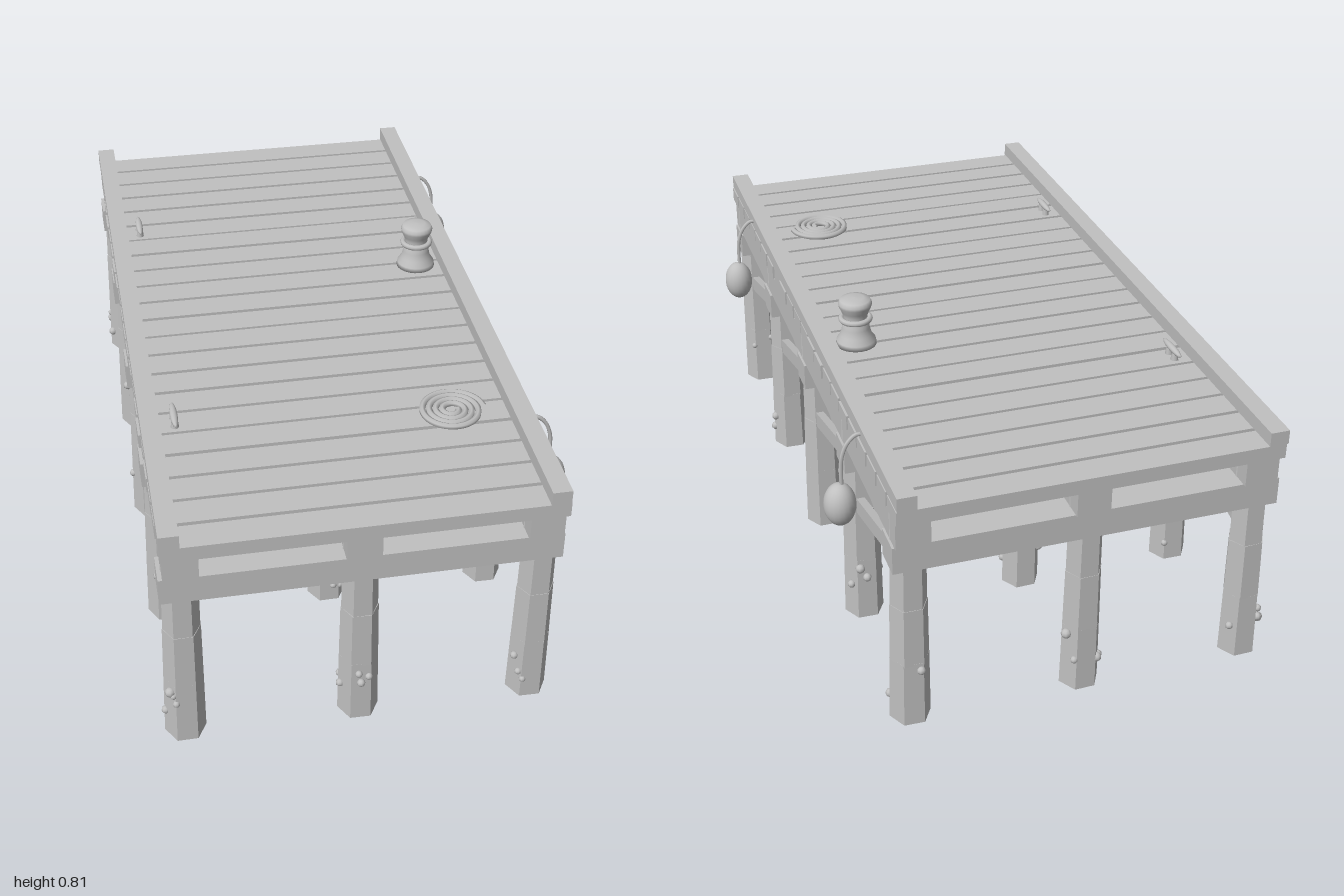
import * as THREE from 'three';

export function createModel() {
  const pier = new THREE.Group();
  pier.name = 'pier';
  const flat = new THREE.MeshStandardMaterial({ color: 0xc0c0c0 });
  flat.name = 'weathered grey';

  let seed = 7;
  const rand = () => (seed = (seed * 16807) % 2147483647) / 2147483647;
  const jitter = (a) => (rand() * 2 - 1) * a;

  const add = (name, geo, x = 0, y = 0, z = 0, parent = pier) => {
    const m = new THREE.Mesh(geo, flat);
    m.name = name;
    m.position.set(x, y, z);
    parent.add(m);
    return m;
  };
  const box = (name, w, h, d, x, y, z) => add(name, new THREE.BoxGeometry(w, h, d), x, y, z);
  // six-sided timber with a flat side to the front
  const hex = (rTop, rBottom, h) => {
    const g = new THREE.CylinderGeometry(rTop, rBottom, h, 6).toNonIndexed();
    g.rotateY(Math.PI / 6);
    g.computeVertexNormals();
    return g;
  };

  const midX = -0.045;
  const rowsX = [-0.495, -0.047, 0.41];
  const rowsZ = [-0.92, -0.46, 0, 0.46, 0.92];

  // Deck planks
  const count = 22, pitch = 2 / count;
  for (let i = 0; i < count; i++) {
    box('plank', 1.005 + jitter(0.006), 0.04, pitch - 0.011,
      midX + jitter(0.002), 0.65 + jitter(0.001), -1 + pitch * (i + 0.5));
  }

  // Edge curbs
  for (const x of [-0.52, 0.43]) box('curb', 0.05, 0.038, 1.996, x, 0.691, 0);

  // Long stringers and cross beams
  for (const x of rowsX) box('stringer', 0.088, 0.08, 1.95, x, 0.59, 0);
  for (const z of rowsZ) box('crossBeam', 1.01, 0.075, 0.09, midX, 0.512, z);

  // Piles with tide sleeves and barnacles
  for (const x of rowsX) for (const z of rowsZ) {
    const pile = new THREE.Group();
    pile.name = 'pile';
    pile.position.set(x, 0, z);
    pier.add(pile);
    add('post', hex(0.045, 0.051, 0.628), 0, 0.314, 0, pile);
    add('upperSleeve', hex(0.049, 0.0515, 0.17), 0, 0.27, 0, pile).rotation.y = jitter(0.05);
    add('lowerSleeve', hex(0.0515, 0.054, 0.19), 0, 0.095, 0, pile).rotation.y = jitter(0.04);
    // small outward lean, pivoting at deck height
    const lean = x < -0.3 ? 0.012 : 0;
    const leanZ = Math.sign(z) * (Math.abs(z) > 0.7 ? 0.008 : 0.003);
    pile.rotation.set(leanZ, 0, -lean);
    pile.position.x -= lean * 0.55;
    pile.position.z -= leanZ * 0.55 - Math.sign(z) * 0.004;
    for (let i = 0; i < 5; i++) {
      const a = rand() * Math.PI * 2;
      const b = add('barnacle', new THREE.SphereGeometry(0.009 + rand() * 0.005, 8, 6),
        Math.sin(a) * 0.05, 0.045 + rand() * 0.125, Math.cos(a) * 0.05, pile);
      b.rotation.y = a;
    }
  }

  // Diagonal braces along the two outer rows
  for (const x of [rowsX[0], rowsX[2]]) {
    for (let i = 0; i < 4; i++) for (const s of [-1, 1]) {
      const brace = box('brace', 0.022, 0.043, 0.475, x + s * 0.011, 0.418, -0.69 + i * 0.46);
      brace.rotation.x = s * 0.262;
    }
  }

  // Mooring bollard
  const profile = [[0, 0], [0.056, 0], [0.054, 0.014], [0.043, 0.03], [0.038, 0.05], [0.037, 0.062],
    [0.033, 0.068], [0.033, 0.088], [0.038, 0.1], [0.045, 0.116], [0.046, 0.124], [0.041, 0.134],
    [0.024, 0.139], [0, 0.14]].map((p) => new THREE.Vector2(...p));
  add('bollard', new THREE.LatheGeometry(profile, 24), 0.337, 0.67, -0.17);
  add('bollardRing', new THREE.TorusGeometry(0.039, 0.008, 8, 24).rotateX(Math.PI / 2), 0.337, 0.747, -0.17);

  // Coiled rope
  const coil = [];
  for (let i = 0; i <= 80; i++) {
    const t = i / 80, a = t * Math.PI * 2 * 4, r = 0.016 + 0.069 * t;
    coil.push(new THREE.Vector3(Math.cos(a) * r, 0, Math.sin(a) * r));
  }
  add('ropeCoil', new THREE.TubeGeometry(new THREE.CatmullRomCurve3(coil), 200, 0.0085, 6),
    0.26, 0.681, 0.585);

  // Cleats on the far edge
  for (const z of [-0.5, 0.5]) {
    for (const s of [-1, 1]) {
      add('cleatFoot', new THREE.CylinderGeometry(0.008, 0.011, 0.025, 8), -0.455, 0.682, z + s * 0.018);
    }
    const horn = add('cleatHorn', new THREE.SphereGeometry(1, 12, 8), -0.455, 0.695, z);
    horn.scale.set(0.01, 0.009, 0.056);
  }

  // Hanging fenders
  const hang = new THREE.CatmullRomCurve3([[0.45, 0.69], [0.466, 0.69], [0.49, 0.667], [0.504, 0.63], [0.507, 0.59], [0.507, 0.545]]
    .map(([x, y]) => new THREE.Vector3(x, y, 0)));
  for (const z of [-0.665, 0.665]) {
    add('fenderRope', new THREE.TubeGeometry(hang, 24, 0.0055, 6), 0, 0, z);
    const fender = add('fender', new THREE.SphereGeometry(1, 20, 14), 0.513, 0.495, z);
    fender.scale.set(0.042, 0.06, 0.042);
  }

  return pier;
}
